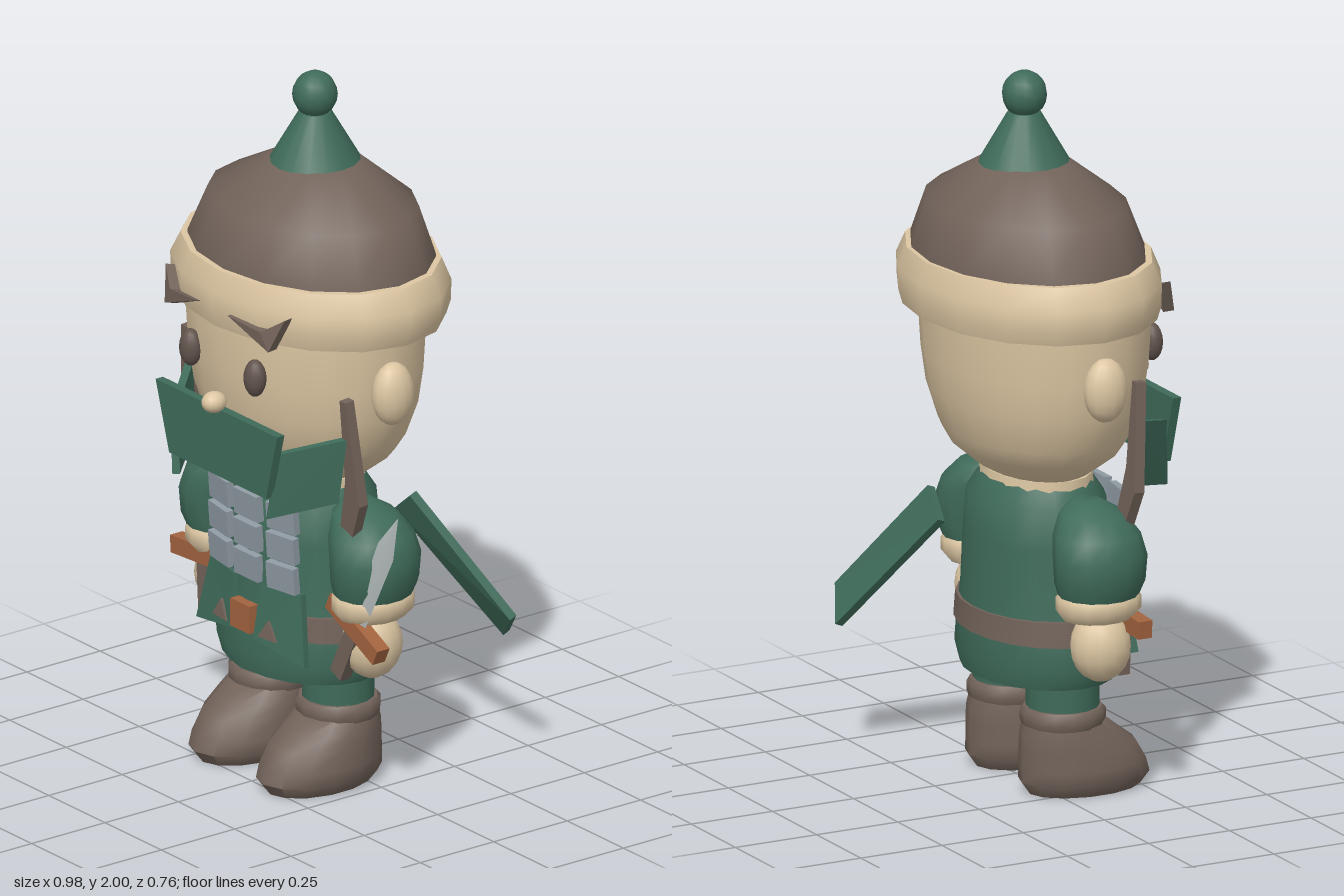
import * as THREE from 'three';
import { toCreasedNormals } from 'three/addons/utils/BufferGeometryUtils.js';

const CX = -0.04; // symmetry axis of the body

const paint = (name, color) => {
  const m = new THREE.MeshStandardMaterial({ color });
  m.name = name;
  return m;
};

// Stack of elliptical rings [y, rx, rz, cz, cx], closed at both ends.
function loft(rings, n = 16) {
  const pos = [], idx = [];
  for (const [y, rx, rz, cz = 0, cx = 0] of rings) {
    for (let i = 0; i < n; i++) {
      const a = (i / n) * Math.PI * 2;
      pos.push(cx + Math.sin(a) * rx, y, cz + Math.cos(a) * rz);
    }
  }
  const last = rings.length - 1;
  for (const k of [0, last]) {
    const [y, , , cz = 0, cx = 0] = rings[k];
    pos.push(cx, y, cz);
  }
  const bottom = rings.length * n, top = bottom + 1;
  for (let i = 0; i < n; i++) {
    const j = (i + 1) % n;
    for (let k = 0; k < last; k++) {
      const a = k * n + i, b = k * n + j;
      idx.push(a, b, b + n, a, b + n, a + n);
    }
    idx.push(bottom, j, i, top, last * n + i, last * n + j);
  }
  const g = new THREE.BufferGeometry();
  g.setAttribute('position', new THREE.Float32BufferAttribute(pos, 3));
  g.setIndex(idx);
  return toCreasedNormals(g, 0.85);
}

// Polygon (counter-clockwise from outside, fan from the first corner) with thickness t.
function slab(points, t) {
  const f = points.map((p) => new THREE.Vector3(...p));
  const normal = f[1].clone().sub(f[0]).cross(f[2].clone().sub(f[0])).normalize();
  const all = [...f, ...f.map((p) => p.clone().addScaledVector(normal, -t))];
  const n = f.length, idx = [];
  for (let i = 0; i < n; i++) {
    const j = (i + 1) % n;
    idx.push(i, i + n, j + n, i, j + n, j);
    if (i > 0 && j > 0) idx.push(0, i, j, n, j + n, i + n);
  }
  let g = new THREE.BufferGeometry().setFromPoints(all);
  g.setIndex(idx);
  g = g.toNonIndexed();
  g.computeVertexNormals();
  return g;
}

// Offsets from the symmetry axis to one side of the body.
function sided(points, s) {
  const p = points.map(([x, y, z]) => [CX + s * x, y, z]);
  return s > 0 ? p : [p[0], ...p.slice(1).reverse()];
}

export function createModel() {
  const model = new THREE.Group();
  model.name = 'littleWarrior';
  const green = paint('green cloth', 0x3f6b5a);
  const brown = paint('brown leather', 0x72635a);
  const cream = paint('cream skin and fur', 0xdcc6a2);
  const steel = paint('armour steel', 0x8f9ba3);
  const silver = paint('blade silver', 0xb6bebe);
  const copper = paint('copper', 0xa2633f);
  const dark = paint('dark eye', 0x62544d);

  const add = (name, geo, mat, x = 0, y = 0, z = 0, parent = model) => {
    const m = new THREE.Mesh(geo, mat);
    m.name = name;
    m.position.set(x, y, z);
    parent.add(m);
    return m;
  };
  const ball = (name, mat, x, y, z, rx, ry, rz) =>
    add(name, new THREE.SphereGeometry(1, 14, 10), mat, x, y, z).scale.set(rx, ry, rz);

  // Helmet
  ball('helmetKnob', green, CX, 1.935, 0.004, 0.062, 0.065, 0.062);
  add('helmetCone', new THREE.CylinderGeometry(0.045, 0.126, 0.14, 16), green, CX, 1.815, 0.003);
  add('helmetDome', loft([[1.45, 0.396, 0.305, 0.015], [1.51, 0.388, 0.3, 0.015],
    [1.64, 0.33, 0.257, 0.01], [1.75, 0.125, 0.12, 0.003]]), brown, CX);
  add('helmetFurTrim', loft([[1.34, 0.428, 0.325, 0.018], [1.38, 0.442, 0.336, 0.018],
    [1.44, 0.445, 0.337, 0.018], [1.5, 0.41, 0.315, 0.017]]), cream, CX);

  // Head and neck
  add('head', loft([[0.87, 0.16, 0.1, 0.03], [0.9, 0.22, 0.15, 0.03], [0.95, 0.285, 0.212, 0.033],
    [1.0, 0.32, 0.242, 0.035], [1.1, 0.36, 0.272, 0.035], [1.2, 0.375, 0.286, 0.035],
    [1.34, 0.383, 0.295, 0.035], [1.45, 0.383, 0.295, 0.03]], 20), cream, CX);
  add('neck', loft([[0.82, 0.195, 0.15, 0.04], [0.885, 0.195, 0.14, 0.04]]), cream, CX);
  ball('nose', cream, CX, 1.12, 0.348, 0.032, 0.03, 0.036);

  // Face mask front
  add('maskFront', slab([[-0.25, 0.905, 0.34], [0.18, 0.905, 0.34], [0.23, 1.1, 0.34], [-0.31, 1.1, 0.34]], 0.025), green);

  // Torso, belt and collar
  add('torso', loft([[0.315, 0.26, 0.195, 0.045], [0.37, 0.283, 0.206, 0.045], [0.46, 0.268, 0.197, 0.04],
    [0.55, 0.25, 0.19, 0.04], [0.7, 0.24, 0.185, 0.04], [0.81, 0.225, 0.178, 0.04],
    [0.865, 0.19, 0.142, 0.04]], 20), green, CX);
  add('belt', loft([[0.44, 0.282, 0.204, 0.04], [0.51, 0.275, 0.2, 0.04]], 20), brown, CX);
  add('buckle', new THREE.BoxGeometry(0.085, 0.08, 0.03), copper, CX, 0.475, 0.245);

  // Chest armour, three by three
  for (let c = -1; c <= 1; c++) {
    for (let r = 0; r < 3; r++) {
      const p = add('armourPlate', new THREE.BoxGeometry(0.104, 0.076, 0.022), steel,
        CX + c * 0.136, 0.795 - r * 0.087, c ? 0.218 : 0.231);
      p.rotation.set(0.08, c * 0.15, 0);
    }
  }

  for (const s of [-1, 1]) {
    // Face
    ball('ear', cream, CX + s * 0.393, 1.195, 0.04, 0.05, 0.09, 0.063);
    ball('eye', dark, CX + s * 0.143, 1.228, 0.318, 0.034, 0.053, 0.03);
    add('eyebrow', slab(sided([[0.2, 1.385, 0.345], [0.07, 1.395, 0.355],
      [0.23, 1.335, 0.34], [0.264, 1.43, 0.31]], s), 0.03), brown);
    add('maskSide', slab(sided([[0.21, 0.84, 0.33], [0.335, 0.89, 0.18],
      [0.36, 1.08, 0.17], [0.235, 1.03, 0.315]], s), 0.022), green);
    add('helmetStrap', slab(sided([[0.34, 0.95], [0.3, 0.79], [0.355, 0.79], [0.397, 0.89],
      [0.38, 1.05], [0.365, 1.19], [0.34, 1.19]].map(([x, y]) => [x, y, 0.165 + (y - 0.99) * 0.08]), s), 0.03), brown);

    // Tunic front flap with a small stud
    add('tunicFlap', slab(sided([[0.05, 0.425, 0.254], [0.24, 0.39, 0.225],
      [0.2, 0.585, 0.205], [0.06, 0.575, 0.235]], s), 0.02), green);
    add('flapStud', slab(sided([[0.07, 0.437, 0.254], [0.14, 0.437, 0.247], [0.105, 0.49, 0.245]], s), 0.008), brown);

    // Arm
    const at = (y, o, rx, rz) => [y, rx, rz, 0.055, s * o];
    add('sleeve', loft([at(0.59, 0.325, 0.095, 0.11), at(0.64, 0.333, 0.108, 0.128), at(0.71, 0.335, 0.111, 0.133),
      at(0.77, 0.315, 0.11, 0.122), at(0.82, 0.285, 0.085, 0.09), at(0.85, 0.255, 0.04, 0.04)], 14), green, CX);
    add('cuff', loft([at(0.535, 0.32, 0.085, 0.1), at(0.56, 0.325, 0.102, 0.12),
      at(0.595, 0.325, 0.102, 0.12), at(0.61, 0.325, 0.09, 0.11)], 14), cream, CX);
    ball('hand', cream, CX + s * 0.328, 0.455, 0.06, 0.08, 0.1, 0.085);

    // Leg and boot
    add('leg', new THREE.CylinderGeometry(0.1, 0.1, 0.18, 14), green, CX + s * 0.15, 0.29, 0.04);
    add('bootCuff', loft([[0.195, 0.112, 0.112, 0.04], [0.21, 0.117, 0.117, 0.04],
      [0.235, 0.117, 0.117, 0.04], [0.246, 0.108, 0.108, 0.04]], 14), brown, CX + s * 0.15);
    add('boot', loft([[0.005, 0.105, 0.165, 0.105], [0.04, 0.132, 0.19, 0.105], [0.08, 0.133, 0.183, 0.1],
      [0.13, 0.126, 0.168, 0.085], [0.17, 0.12, 0.14, 0.06], [0.21, 0.108, 0.11, 0.04]], 14), brown, CX + s * 0.15);
  }

  // Sword in the left hand
  const sword = new THREE.Group();
  sword.name = 'sword';
  sword.position.set(0.31, 0.52, 0.128);
  sword.rotation.z = -0.45;
  model.add(sword);
  add('swordBlade', loft([[0, 0.028, 0.012], [0.29, 0.037, 0.014], [0.415, 0.001, 0.001]], 4), silver, 0, 0, 0, sword);
  add('swordGuard', new THREE.BoxGeometry(0.235, 0.05, 0.042), copper, 0, 0, 0, sword);
  add('swordGrip', new THREE.BoxGeometry(0.05, 0.15, 0.035), brown, 0, -0.1, 0, sword);

  // Bladeless hilt in the right hand
  const hilt = new THREE.Group();
  hilt.name = 'hilt';
  hilt.position.set(-0.385, 0.525, 0.133);
  hilt.rotation.z = 0.06;
  model.add(hilt);
  add('hiltGuard', new THREE.BoxGeometry(0.205, 0.05, 0.042), copper, 0, 0, 0, hilt);
  add('hiltGrip', new THREE.BoxGeometry(0.045, 0.15, 0.035), brown, 0.03, -0.09, 0, hilt);

  // Scarf tail hanging off the back
  add('scarfTail', slab([[0.075, 0.73, -0.2], [0.17, 0.8, -0.18],
    [0.42, 0.48, -0.33], [0.325, 0.395, -0.38]], 0.025), green);

  return model;
}
